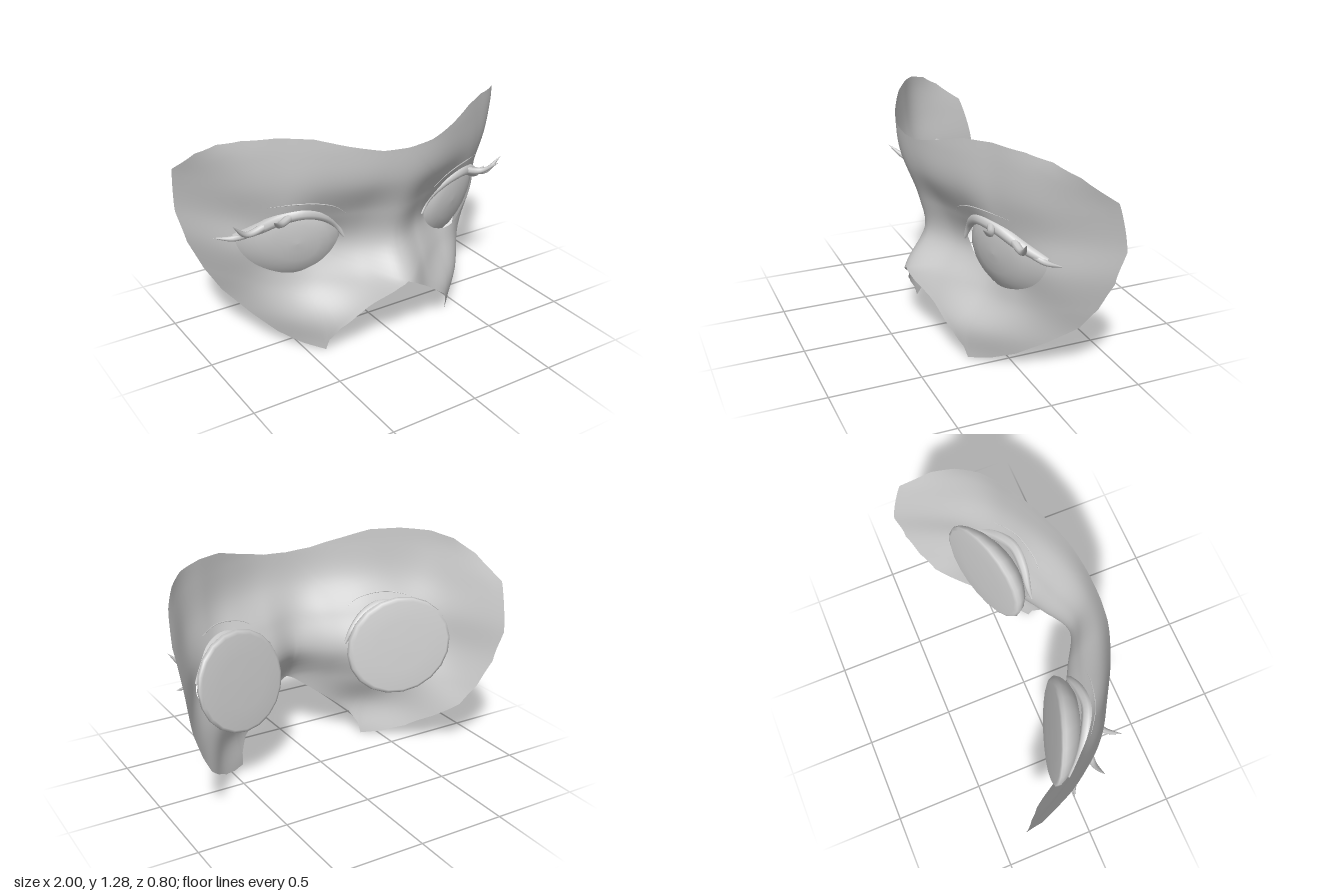
import * as THREE from 'three';
import { mergeVertices, mergeGeometries } from 'three/addons/utils/BufferGeometryUtils.js';

// Depth (z) of the face, sampled every 0.2 in x (columns) and y (rows)
const DEPTH = [
  [0.45, 0.34, 0.205, -0.02, -0.36, -0.74],
  [0.43, 0.33, 0.23, 0.045, -0.30, -0.71],
  [0.40, 0.27, 0.125, 0.025, -0.19, -0.61],
  [0.28, 0.18, 0.075, 0.04, -0.095, -0.49],
  [0.31, 0.24, 0.17, 0.11, -0.07, -0.43],
  [0.375, 0.345, 0.27, 0.17, 0.01, -0.34],
  [0.39, 0.37, 0.295, 0.185, 0.05, -0.22],
];
const EYE = new THREE.Vector2(0.53, 0.63);

function cubic(a, b, c, d, t) {
  return b + 0.5 * t * (c - a + t * (2 * a - 5 * b + 4 * c - d + t * (3 * (b - c) + d - a)));
}

function faceZ(x, y) {
  const gx = Math.abs(x) / 0.2, gy = Math.min(Math.max(y / 0.2, 0), 6);
  const i = Math.min(Math.floor(gx), 4), j = Math.min(Math.floor(gy), 5);
  const cell = (row, k) => (k > 5 ? 2 * row[5] - row[4] : row[Math.abs(k)]);
  const along = (k) => {
    const row = DEPTH[Math.min(Math.max(k, 0), 6)];
    return cubic(cell(row, i - 1), cell(row, i), cell(row, i + 1), cell(row, i + 2), gx - i);
  };
  return cubic(along(j - 1), along(j), along(j + 1), along(j + 2), gy - j);
}

// Closed rings of points joined into a surface, counter-clockwise as seen from +z
function ringSurface(rings) {
  const n = rings[0].length, index = [];
  for (let r = 0; r < rings.length - 1; r++) {
    for (let k = 0; k < n; k++) {
      const a = r * n + k, b = r * n + (k + 1) % n;
      index.push(a, a + n, b + n, a, b + n, b);
    }
  }
  const geo = new THREE.BufferGeometry().setFromPoints(rings.flat());
  geo.setIndex(index);
  return geo;
}

function mirrored(geo) {
  const copy = geo.clone().scale(-1, 1, 1);
  const idx = copy.index.array;
  for (let k = 0; k < idx.length; k += 3) [idx[k], idx[k + 1]] = [idx[k + 1], idx[k]];
  return copy;
}

// Half of the mask: rings spreading from the eye opening to the outer edge
function maskHalf() {
  const corners = [
    [0, 0.4], [0.05, 0.375], [0.2, 0.265], [0.35, 0.15], [0.395, 0.07], [0.405, 0.003],
    [0.5, 0.03], [0.6, 0.085], [0.7, 0.175], [0.8, 0.285], [0.87, 0.41], [0.935, 0.57],
    [0.975, 0.75], [1, 1.03], [0.94, 1.16], [0.87, 1.23], [0.78, 1.265], [0.63, 1.28],
    [0.48, 1.27], [0.33, 1.225], [0.15, 1.18], [0, 1.17],
  ].map((p) => new THREE.Vector2(...p));
  const edge = [];
  corners.forEach((p, k) => {
    const q = corners[(k + 1) % corners.length];
    const steps = Math.ceil(p.distanceTo(q) / 0.04);
    for (let s = 0; s < steps; s++) edge.push(p.clone().lerp(q, s / steps));
  });

  const opening = new THREE.SplineCurve([
    [0.275, 0.66], [0.31, 0.72], [0.39, 0.78], [0.5, 0.805], [0.61, 0.79], [0.7, 0.745],
    [0.78, 0.68], [0.765, 0.6], [0.7, 0.52], [0.61, 0.47], [0.5, 0.455], [0.4, 0.485],
    [0.33, 0.54], [0.29, 0.6], [0.275, 0.66],
  ].map((p) => new THREE.Vector2(...p))).getPoints(800);
  const hole = edge.map((e) => {
    const dir = e.clone().sub(EYE).normalize();
    let best = opening[0], bestDot = -2;
    for (const p of opening) {
      const dot = p.clone().sub(EYE).normalize().dot(dir);
      if (dot > bestDot) { bestDot = dot; best = p; }
    }
    return best;
  });

  const rings = [];
  for (let r = 0; r <= 14; r++) {
    rings.push(edge.map((e, k) => {
      const p = hole[k].clone().lerp(e, r / 14);
      return new THREE.Vector3(p.x, p.y, faceZ(p.x, p.y));
    }));
  }
  return ringSurface(rings);
}

// Shallow domed eye, swept back towards the temple, closed behind
function eyeGeometry() {
  const profile = [[0.001, 0.135], [0.2, 0.132], [0.4, 0.124], [0.6, 0.109], [0.8, 0.075], [0.93, 0.04],
    [1, 0.005], [0.98, -0.012], [0.92, -0.02], [0.5, -0.024], [0.001, -0.025]];
  return ringSurface(profile.map(([r, dz]) => Array.from({ length: 20 }, (_, k) => {
    const a = (k / 20) * Math.PI * 2;
    const x = 0.51 + 0.292 * r * Math.cos(a);
    const y = 0.64 + 0.28 * r * Math.sin(a) + 0.12 * (x - 0.51);
    return new THREE.Vector3(x, y, 0.07 - 0.345 * (x - 0.22) + 0.15 * (y - 0.64) + dz);
  })));
}

// Tube whose radius follows a rule along its length
function taperedTube(points, radius, segments = 20) {
  const curve = new THREE.CatmullRomCurve3(points.map((p) => new THREE.Vector3(...p)));
  const sides = 8, geo = new THREE.TubeGeometry(curve, segments, 1, sides);
  const pos = geo.attributes.position, v = new THREE.Vector3();
  for (let k = 0; k < pos.count; k++) {
    const t = Math.floor(k / (sides + 1)) / segments, c = curve.getPointAt(t);
    v.fromBufferAttribute(pos, k).sub(c).multiplyScalar(radius(t)).add(c);
    pos.setXYZ(k, v.x, v.y, v.z);
  }
  return geo;
}

export function createModel() {
  const model = new THREE.Group();
  const solid = new THREE.MeshStandardMaterial({ color: 0xcccccc });
  const thin = new THREE.MeshStandardMaterial({ color: 0xcccccc, side: THREE.DoubleSide });
  const add = (name, geo, mat) => {
    const mesh = new THREE.Mesh(geo, mat);
    mesh.name = name;
    model.add(mesh);
  };
  const addPair = (name, geo, mat) => {
    add('left' + name, geo, mat);
    add('right' + name, mirrored(geo), mat);
  };

  // Thin face shell, welded along the middle
  const half = maskHalf();
  const shell = mergeVertices(mergeGeometries([half, mirrored(half)]), 1e-4);
  shell.computeVertexNormals();
  add('maskShell', shell, thin);

  // Eyes
  const eye = eyeGeometry();
  eye.computeVertexNormals();
  addPair('Eye', eye, solid);

  // Thick lash line along the upper lid
  addPair('LashLine', taperedTube([
    [0.255, 0.64, 0.155], [0.3, 0.72, 0.15], [0.39, 0.797, 0.16], [0.5, 0.835, 0.155],
    [0.6, 0.815, 0.11], [0.7, 0.755, 0.04], [0.79, 0.688, -0.06],
  ], (t) => 0.002 + 0.033 * Math.pow(Math.sin(Math.PI * (0.03 + 0.8 * t)), 0.8), 32), solid);

  // Curled lash spikes at the outer corner
  const spikes = [
    [[0.54, 0.835, 0.13], [0.645, 0.82, 0.18], [0.715, 0.877, 0.25]],
    [[0.65, 0.785, 0.07], [0.78, 0.755, 0.07], [0.866, 0.83, 0.09]],
    [[0.70, 0.745, 0.03], [0.80, 0.69, -0.045], [0.9, 0.7, -0.09]],
  ];
  spikes.forEach((p, k) => addPair('LashSpike' + (k + 1),
    taperedTube(p, (t) => 0.0005 + 0.034 * (1 - t) * (0.6 + 0.8 * t), 14), solid));

  // Fine crease above the lid
  const crease = [[0.28, 0.81], [0.35, 0.865], [0.44, 0.895], [0.55, 0.905], [0.67, 0.885]];
  addPair('LidCrease', taperedTube(crease.map(([x, y]) => [x, y, faceZ(x, y) + 0.001]),
    (t) => 0.0005 + 0.003 * Math.sin(Math.PI * t)), solid);

  return model;
}
